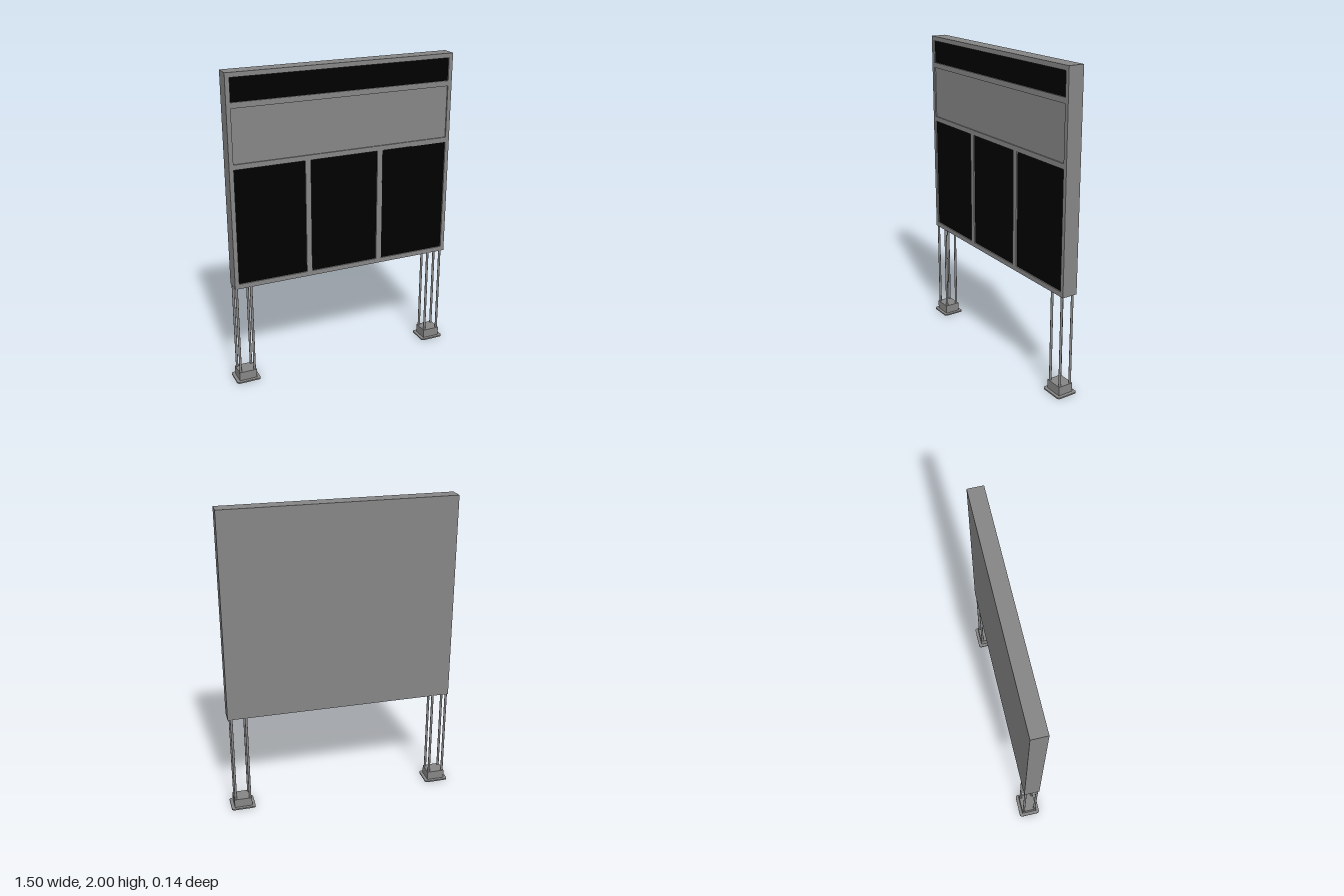
import * as THREE from 'three';

const grey = new THREE.MeshStandardMaterial({ color: 0x858585, side: THREE.DoubleSide });
const black = new THREE.MeshStandardMaterial({ color: 0x000000 });

function addMesh(parent, name, geometry, material, x, y, z) {
  const mesh = new THREE.Mesh(geometry, material);
  mesh.name = name;
  mesh.position.set(x, y, z);
  parent.add(mesh);
  return mesh;
}

// Rectangle outline from two corners, optionally with rounded corners
function rect(x0, y0, x1, y1, r = 0, Type = THREE.Shape) {
  const s = new Type();
  if (!r) {
    s.moveTo(x0, y0).lineTo(x1, y0).lineTo(x1, y1).lineTo(x0, y1).closePath();
    return s;
  }
  s.moveTo(x0 + r, y0);
  s.absarc(x1 - r, y0 + r, r, -Math.PI / 2, 0);
  s.absarc(x1 - r, y1 - r, r, 0, Math.PI / 2);
  s.absarc(x0 + r, y1 - r, r, Math.PI / 2, Math.PI);
  s.absarc(x0 + r, y0 + r, r, Math.PI, Math.PI * 1.5);
  return s;
}

// Horizontal square ring, extruded upwards from y = 0
function ring(w, d, wall, height, r) {
  const s = rect(-w / 2, -d / 2, w / 2, d / 2, r);
  const a = w / 2 - wall, b = d / 2 - wall;
  s.holes.push(rect(-a, -b, a, b, 0, THREE.Path));
  return new THREE.ExtrudeGeometry(s, { depth: height, bevelEnabled: false, curveSegments: 4 })
    .rotateX(-Math.PI / 2);
}

function createFoot(name, x) {
  const foot = new THREE.Group();
  foot.name = name;
  foot.position.x = x;
  // Flange and hollow socket, open underneath
  addMesh(foot, 'footFlange', ring(0.158, 0.14, 0.026, 0.009, 0.016), grey, 0, 0, 0);
  addMesh(foot, 'footSocket', ring(0.116, 0.1, 0.006, 0.052, 0), grey, 0, 0.009, 0);
  addMesh(foot, 'socketLid', new THREE.BoxGeometry(0.116, 0.006, 0.1), grey, 0, 0.064, 0);
  // Four thin rods up to the cabinet
  const rod = new THREE.CylinderGeometry(0.008, 0.008, 0.645, 12);
  for (const sx of [-1, 1]) for (const sz of [-1, 1]) {
    addMesh(foot, 'legRod', rod, grey, sx * 0.047, 0.3425, sz * 0.038);
  }
  return foot;
}

export function createModel() {
  const model = new THREE.Group();
  model.name = 'displayBoard';

  // Cabinet: solid back plus a front frame with window openings
  const x0 = -0.732, x1 = 0.744, y0 = 0.66, y1 = 2;
  addMesh(model, 'cabinetBack', new THREE.BoxGeometry(x1 - x0, y1 - y0, 0.09), grey,
    (x0 + x1) / 2, (y0 + y1) / 2, -0.005);

  const panels = [
    ['topPanel', -0.705, 1.827, 0.718, 1.971, black],
    ['middlePanel', -0.705, 1.459, 0.718, 1.793, grey],
    ['lowerRightPanel', -0.705, 0.691, -0.255, 1.427, black],
    ['lowerMiddlePanel', -0.22, 0.691, 0.23, 1.427, black],
    ['lowerLeftPanel', 0.266, 0.691, 0.718, 1.427, black],
  ];
  const frame = rect(x0, y0, x1, y1);
  for (const [name, a, b, c, d, material] of panels) {
    frame.holes.push(rect(a, b, c, d, 0, THREE.Path));
    addMesh(model, name, new THREE.BoxGeometry(c - a, d - b, 0.004), material,
      (a + c) / 2, (b + d) / 2, 0.04);
  }
  addMesh(model, 'frontFrame',
    new THREE.ExtrudeGeometry(frame, { depth: 0.01, bevelEnabled: false }), grey, 0, 0, 0.04);

  // Feet with their leg rods
  model.add(createFoot('rightFoot', -0.674), createFoot('leftFoot', 0.673));
  return model;
}
